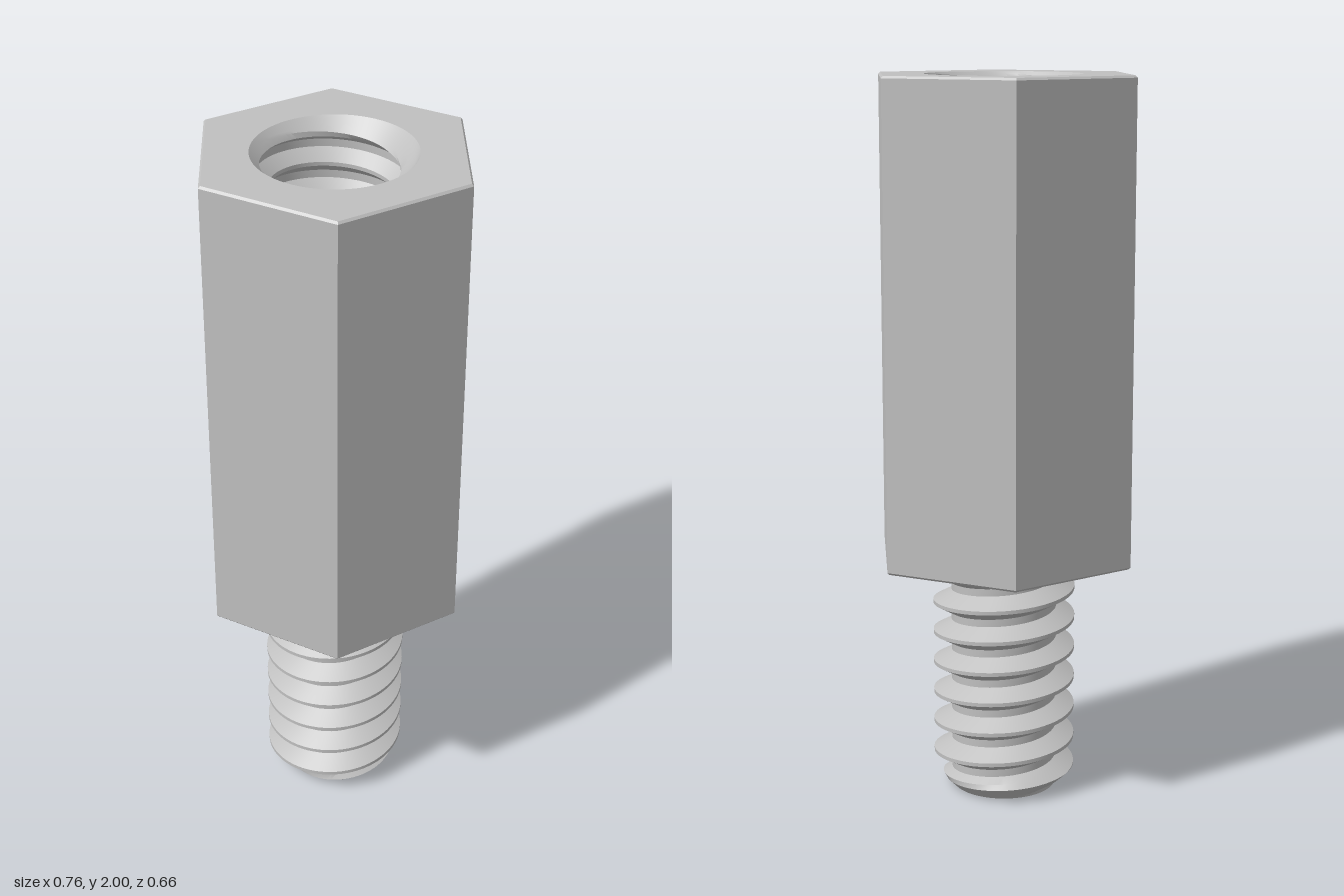
import * as THREE from 'three';
import { toCreasedNormals } from 'three/addons/utils/BufferGeometryUtils.js';

const PITCH = 0.088, PHASE = 0.006, SEGMENTS = 72;
const HEX_R = 0.382, BEVEL = 0.006, SHOULDER = 0.675, TOP = 2;
const HOLE_FLOOR = 1.2, HOLE_RIM = 0.213;

// One pitch of the V thread: [position along pitch, height from root to crest]
const PROFILE = [[0, 1], [0.06, 1], [0.22, 0.5], [0.38, 0], [0.62, 0], [0.78, 0.5], [0.94, 1], [1, 1]];

function threadHeight(t) {
  t -= Math.floor(t);
  for (let k = 1; k < PROFILE.length; k++) {
    const [t0, h0] = PROFILE[k - 1], [t1, h1] = PROFILE[k];
    if (t <= t1) return h0 + (h1 - h0) * (t - t0) / (t1 - t0);
  }
  return 1;
}

// Right-handed helical surface; radius(height, y) sets the thread and its chamfer
function threadGeometry(y0, y1, radius, inward) {
  const positions = [], index = [];
  const steps = PROFILE.slice(0, -1).map((p) => p[0]);
  const first = Math.floor(y0 / PITCH) - 2, last = Math.ceil(y1 / PITCH) + 1;
  const rows = (last - first) * steps.length, cols = SEGMENTS + 1;
  for (let j = 0; j < rows; j++) {
    const turn = first + Math.floor(j / steps.length) + steps[j % steps.length];
    for (let i = 0; i < cols; i++) {
      const u = i / SEGMENTS, a = u * Math.PI * 2;
      const y = THREE.MathUtils.clamp(PHASE + PITCH * (turn + u), y0, y1);
      const r = radius(threadHeight((y - PHASE) / PITCH - u), y);
      positions.push(r * Math.cos(a), y, -r * Math.sin(a));
    }
  }
  // Skip triangles that collapse onto either end
  const add = (a, b, c) => {
    const ys = [a, b, c].map((v) => positions[v * 3 + 1]);
    if (Math.max(...ys) - Math.min(...ys) < 1e-6) return;
    if (inward) index.push(a, c, b);
    else index.push(a, b, c);
  };
  for (let j = 0; j < rows - 1; j++) {
    for (let i = 0; i < SEGMENTS; i++) {
      const a = j * cols + i, b = a + 1, c = a + cols, d = c + 1;
      add(a, b, d);
      add(a, d, c);
    }
  }
  const g = new THREE.BufferGeometry();
  g.setAttribute('position', new THREE.Float32BufferAttribute(positions, 3));
  g.setIndex(index);
  return toCreasedNormals(g, 0.45);
}

export function createModel() {
  const group = new THREE.Group();
  const steel = new THREE.MeshStandardMaterial({ color: 0xc0c0c0 });
  steel.name = 'steel grey';

  const addPart = (name, geometry) => {
    const mesh = new THREE.Mesh(geometry, steel);
    mesh.name = name;
    group.add(mesh);
    return mesh;
  };

  // Hexagonal body with fine bevels and a closed underside
  const inner = HEX_R - BEVEL;
  const outline = [
    [0, SHOULDER], [inner, SHOULDER], [HEX_R, SHOULDER + BEVEL],
    [HEX_R, TOP - BEVEL], [inner, TOP],
  ].map(([x, y]) => new THREE.Vector2(x, y));
  const body = new THREE.LatheGeometry(outline, 6, Math.PI / 2).toNonIndexed();
  body.computeVertexNormals();
  addPart('hexBody', body);

  // Top face around the hole
  const hex = new THREE.Shape(Array.from({ length: 6 }, (_, i) =>
    new THREE.Vector2(inner * Math.cos(i * Math.PI / 3), inner * Math.sin(i * Math.PI / 3))));
  const rim = new THREE.Path();
  rim.absarc(0, 0, HOLE_RIM, 0, Math.PI * 2, true);
  hex.holes.push(rim);
  addPart('topFace', new THREE.ShapeGeometry(hex, SEGMENTS / 2).rotateX(-Math.PI / 2).translate(0, TOP, 0));

  // Tapped hole with a countersunk mouth
  addPart('tappedHole', threadGeometry(HOLE_FLOOR, TOP,
    (h, y) => Math.max(0.2 - 0.035 * h, HOLE_RIM - (TOP - y)), true));
  addPart('holeFloor', new THREE.CircleGeometry(0.2, SEGMENTS)
    .rotateX(-Math.PI / 2).translate(0, HOLE_FLOOR, 0));

  // Threaded stud with a chamfered tip
  addPart('threadedStud', threadGeometry(0, SHOULDER + 0.005,
    (h, y) => Math.min(0.148 + 0.051 * h, 0.145 + y), false));
  addPart('studTip', new THREE.CircleGeometry(0.145, SEGMENTS).rotateX(Math.PI / 2));

  return group;
}
